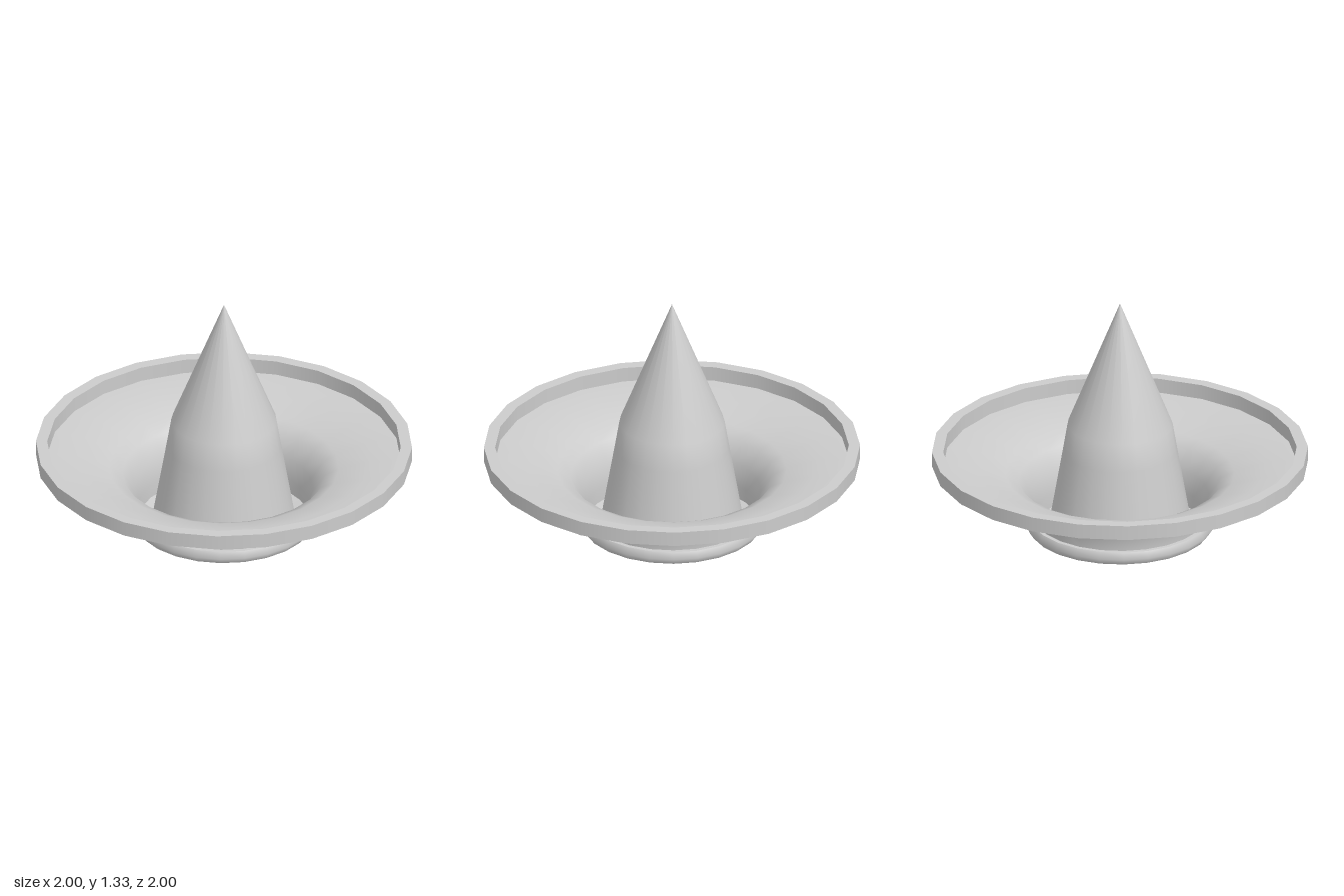
import * as THREE from 'three';

const SIDES = 24;
const material = new THREE.MeshStandardMaterial({ color: 0xcccccc, side: THREE.DoubleSide });

// Turns each [radius, height] profile smoothly; separate profiles meet in a sharp edge
function turned(name, ...profiles) {
  const part = new THREE.Group();
  part.name = name;
  for (const profile of profiles) {
    const points = profile.map(([r, y]) => new THREE.Vector2(r, y));
    const mesh = new THREE.Mesh(new THREE.LatheGeometry(points, SIDES), material);
    mesh.name = name + 'Surface';
    part.add(mesh);
  }
  return part;
}

export function createModel() {
  const model = new THREE.Group();
  model.name = 'spikedDish';

  // Hollow central spike, open underneath
  model.add(turned('spike', [[0.388, 0], [0.305, 0.48], [0.28, 0.63], [0, 1.33]]));

  // Thin flared dish, seen from both sides
  model.add(turned('dish', [
    [0.458, 0.02], [0.46, 0.095], [0.475, 0.21], [0.54, 0.305],
    [0.61, 0.34], [0.78, 0.393], [1, 0.4],
  ]));

  // Upright rim: outer wall, flat top, inner wall
  model.add(turned('rim',
    [[1, 0.4], [1, 0.48]],
    [[1, 0.48], [0.94, 0.48]],
    [[0.94, 0.48], [0.94, 0.4]],
  ));

  // Base collar: underside that is also the trough floor, rounded band, top lip
  model.add(turned('baseCollar',
    [[0.388, 0], [0.48, 0.025]],
    [[0.48, 0.025], [0.503, 0.06], [0.483, 0.095]],
    [[0.483, 0.095], [0.46, 0.095]],
  ));

  return model;
}
